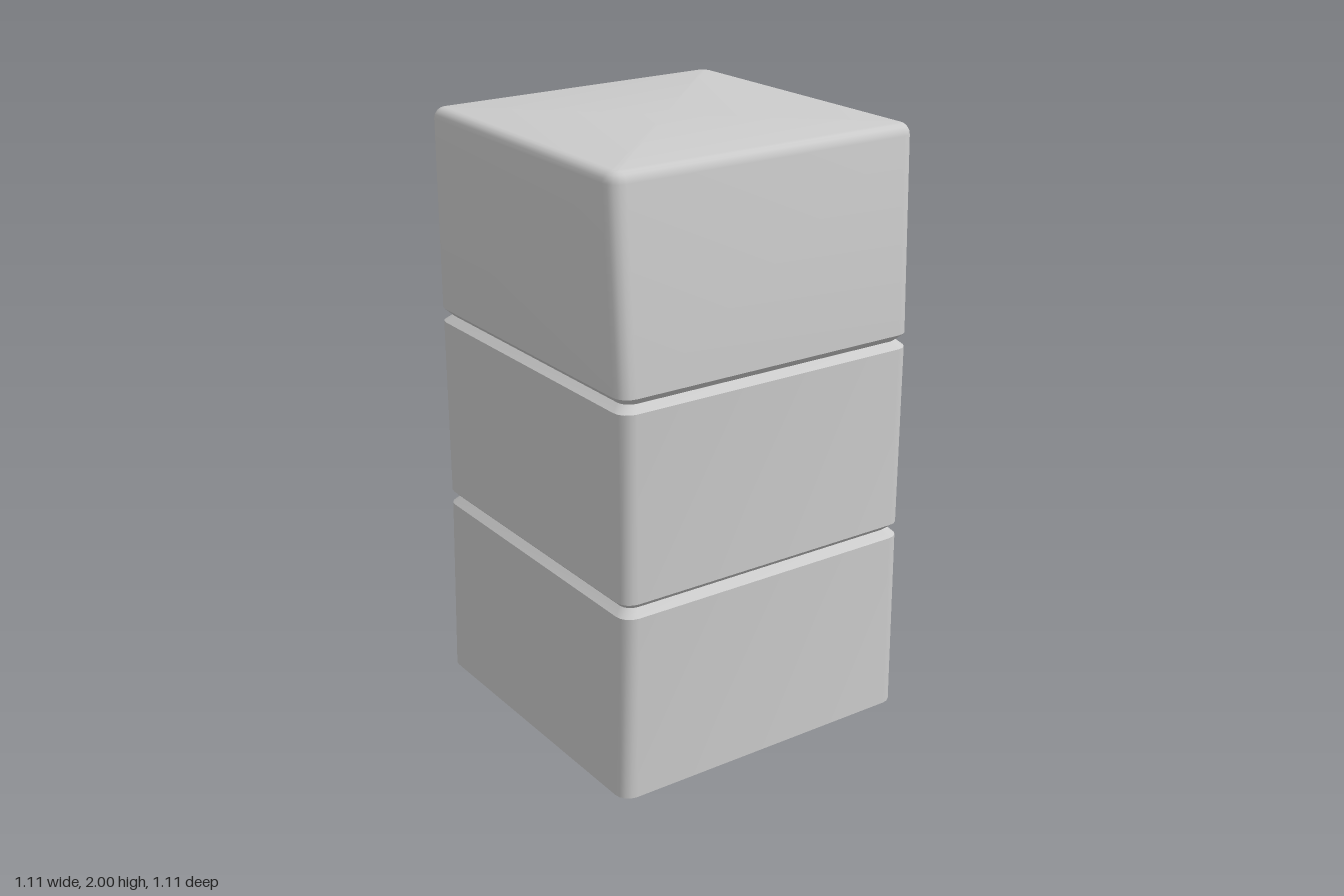
import * as THREE from 'three';
import { toCreasedNormals } from 'three/addons/utils/BufferGeometryUtils.js';

const ARC = 4; // segments per rounded corner
const SIGN = [[1, 1], [1, -1], [-1, -1], [-1, 1]]; // front right, back right, back left, front left

// Rounded four-cornered loop; each corner is [x, y, z], drawn in by inset
function ring(corners, radius, inset = 0, drop = 0) {
  const points = [];
  const r = radius - inset;
  corners.forEach(([x, y, z], k) => {
    const [sx, sz] = SIGN[k];
    for (let i = 0; i <= ARC; i++) {
      const a = (k - 1 + i / ARC) * Math.PI / 2;
      points.push(new THREE.Vector3(
        x - sx * radius + r * Math.cos(a), y - drop, z - sz * radius - r * Math.sin(a)));
    }
  });
  return points;
}

// Level loop from its left, right, front and back limits
function level(y, left, right, front, back, radius = 0.05) {
  return ring([[right, y, front], [right, y, back], [left, y, back], [left, y, front]], radius);
}

// Skin between successive loops, with an optional closing cap
function skin(name, rings, material, capped = false) {
  const n = rings[0].length;
  const points = rings.flat();
  const index = [];
  for (let i = 0; i < rings.length - 1; i++) {
    for (let j = 0; j < n; j++) {
      const a = i * n + j, b = i * n + (j + 1) % n;
      index.push(a, b, b + n, a, b + n, a + n);
    }
  }
  if (capped) {
    const last = rings[rings.length - 1];
    const centre = new THREE.Vector3();
    last.forEach((p) => centre.addScaledVector(p, 1 / n));
    const start = (rings.length - 1) * n;
    for (let j = 0; j < n; j++) index.push(start + j, start + (j + 1) % n, points.length);
    points.push(centre);
  }
  const geometry = new THREE.BufferGeometry().setFromPoints(points);
  geometry.setIndex(index);
  const mesh = new THREE.Mesh(toCreasedNormals(geometry, 0.62), material);
  mesh.name = name;
  return mesh;
}

export function createModel() {
  const group = new THREE.Group();
  group.name = 'stackedBlockColumn';
  const material = new THREE.MeshStandardMaterial({ color: 0xcccccc, side: THREE.DoubleSide });

  // Pinched seams between the blocks
  const lowerSeam = level(0.645, -0.52, 0.525, 0.53, -0.525, 0.04);
  const upperSeam = level(1.30, -0.52, 0.525, 0.53, -0.525, 0.04);

  // Lower block, hollow and open underneath
  group.add(skin('lowerBlock', [
    level(0, -0.555, 0.555, 0.557, -0.555),
    level(0.62, -0.543, 0.55, 0.555, -0.552),
    lowerSeam,
  ], material));

  // Middle block
  group.add(skin('middleBlock', [
    lowerSeam,
    level(0.668, -0.543, 0.55, 0.555, -0.552),
    level(1.278, -0.545, 0.55, 0.555, -0.552),
    upperSeam,
  ], material));

  // Upper block: leans in at its front left corner, under a rounded, tilted top
  const top = [[0.541, 1.995, 0.545], [0.543, 2.0, -0.55], [-0.548, 1.99, -0.55], [-0.535, 1.975, 0.495]];
  const bevel = 0.035;
  const rings = [upperSeam, level(1.325, -0.546, 0.55, 0.555, -0.552)];
  for (let i = 0; i <= 4; i++) {
    const a = i / 4 * Math.PI / 2;
    rings.push(ring(top, 0.05, bevel * (1 - Math.cos(a)), bevel * (1 - Math.sin(a))));
  }
  group.add(skin('upperBlock', rings, material, true));

  return group;
}
